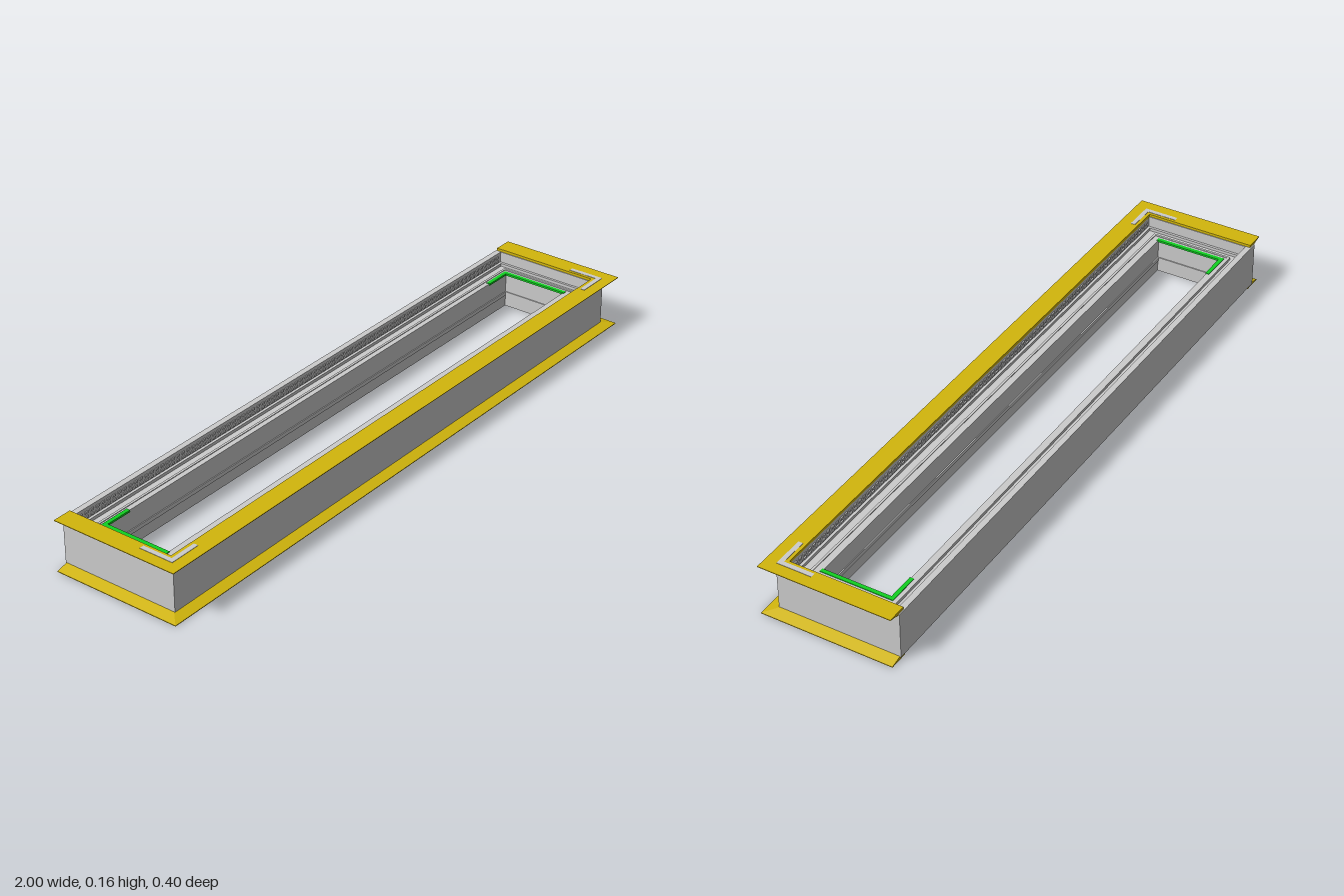
import * as THREE from 'three';
import { mergeGeometries } from 'three/addons/utils/BufferGeometryUtils.js';

const grey = new THREE.MeshStandardMaterial({ color: 0xcccccc, flatShading: true });
const yellow = new THREE.MeshStandardMaterial({ color: 0xd2b60c, flatShading: true });
const green = new THREE.MeshStandardMaterial({ color: 0x10d020, flatShading: true });

// Rectangular ring; each rectangle is [half width, back z, front z].
function ring(outer, inner, y0, y1) {
  const corners = ([x, b, f]) => [[-x, -f], [x, -f], [x, -b], [-x, -b]].map(p => new THREE.Vector2(...p));
  const shape = new THREE.Shape(corners(outer));
  shape.holes.push(new THREE.Path(corners(inner).reverse()));
  return new THREE.ExtrudeGeometry(shape, { depth: y1 - y0, bevelEnabled: false })
    .rotateX(-Math.PI / 2).translate(0, y0, 0);
}

function box(x0, x1, y0, y1, z0, z1) {
  return new THREE.BoxGeometry(x1 - x0, y1 - y0, z1 - z0)
    .translate((x0 + x1) / 2, (y0 + y1) / 2, (z0 + z1) / 2);
}

// Wedge-shaped flange swept round the left, front and right sides.
function flange(top) {
  const profile = [[0, 0], [0.058, 0], [0.058, 0.01], [0.034, 0.01], [0, 0.002]];
  const n = profile.length, pos = [], idx = [];
  for (const [sx, front] of [[-1, false], [-1, true], [1, true], [1, false]])
    for (const [o, d] of profile)
      pos.push(sx * (1 - o), top ? 0.155 - d : d, front ? 0.2 - o : -0.197);
  const tri = (a, b, c) => (top ? idx.push(a, b, c) : idx.push(a, c, b));
  for (let s = 0; s < 3; s++) {
    for (let i = 0; i < n; i++) {
      const a = s * n + i, b = s * n + (i + 1) % n;
      tri(a, a + n, b);
      tri(b, a + n, b + n);
    }
  }
  for (let i = 1; i < n - 1; i++) {
    tri(0, i, i + 1);
    tri(3 * n, 3 * n + i + 1, 3 * n + i);
  }
  const g = new THREE.BufferGeometry();
  g.setAttribute('position', new THREE.Float32BufferAttribute(pos, 3));
  g.setIndex(idx);
  const flat = g.toNonIndexed();
  flat.computeVertexNormals();
  return flat;
}

export function createModel() {
  const group = new THREE.Group();
  const add = (name, geometry, material = grey) => {
    const mesh = new THREE.Mesh(geometry, material);
    mesh.name = name;
    group.add(mesh);
  };

  // Nested rectangles from the outside to the opening
  const outside = [0.965, -0.2, 0.168];
  const wallInside = [0.94, -0.182, 0.142];
  const collarOutside = [0.905, -0.141, 0.101];
  const opening = [0.889, -0.126, 0.081];

  add('outerWall', ring(outside, wallInside, 0.008, 0.147));
  add('innerLedge', ring(wallInside, collarOutside, 0.095, 0.105));
  add('collar', ring(collarOutside, opening, 0.004, 0.112));
  add('bottomPlate', ring(wallInside, collarOutside, 0.01, 0.02));

  // Raised beads around the ledge and the underside
  const lips = [];
  for (const [y0, y1] of [[0.105, 0.114], [0.004, 0.01]]) {
    lips.push(ring(wallInside, [0.932, -0.174, 0.134], y0, y1));
    lips.push(ring([0.912, -0.148, 0.108], collarOutside, y0, y1));
  }
  add('ledgeBeads', mergeGeometries(lips));

  // Thin rib half way up the opening
  add('openingRib', ring(opening, [0.886, -0.123, 0.078], 0.04, 0.052));

  // Two rows of small teeth along the long inner walls
  const teeth = [];
  for (const y of [0.121, 0.134])
    for (let i = 0; i < 90; i++) {
      const x = -0.92 + i * 1.84 / 89;
      teeth.push(box(x - 0.006, x + 0.006, y - 0.003, y + 0.003, -0.183, -0.179));
      teeth.push(box(x - 0.006, x + 0.006, y - 0.003, y + 0.003, 0.139, 0.143));
    }
  add('wallTeeth', mergeGeometries(teeth));

  // Yellow flanges, open at the back
  add('topFlange', flange(true), yellow);
  add('bottomFlange', flange(false), yellow);

  for (const s of [-1, 1]) {
    const side = (x0, x1, ...rest) => box(Math.min(s * x0, s * x1), Math.max(s * x0, s * x1), ...rest);
    const label = s > 0 ? 'left' : 'right';

    // Angle bracket lying on each front corner
    add(label + 'CornerBracket', mergeGeometries([
      side(0.868, 0.965, 0.154, 0.156, 0.152, 0.166),
      side(0.951, 0.965, 0.154, 0.156, 0.06, 0.152),
    ]));

    // Green edging on the collar rim
    add(label + 'GreenEdge', mergeGeometries([
      side(0.884, 0.896, 0.108, 0.114, -0.135, 0.085),
      side(0.8, 0.884, 0.108, 0.114, -0.135, -0.123),
    ]), green);
  }
  return group;
}
